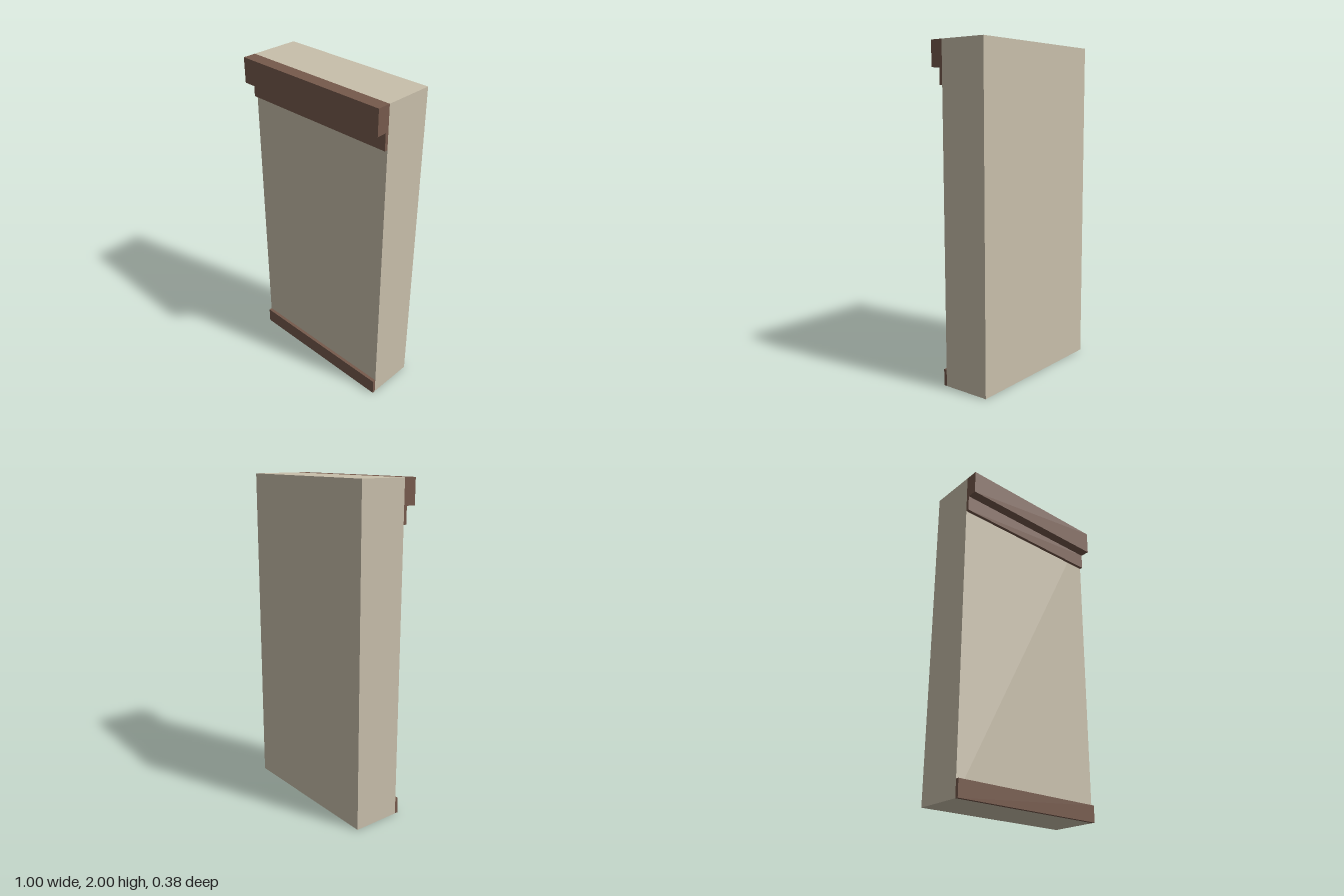
import * as THREE from 'three';

export function createModel() {
  const group = new THREE.Group();
  group.name = 'wallPanel';

  const plaster = new THREE.MeshStandardMaterial({ color: 0xc8bfab });
  plaster.name = 'plaster';
  const wood = new THREE.MeshStandardMaterial({ color: 0x765a4c });
  wood.name = 'brownWood';

  const width = 1;
  const wallFront = 0.11;

  // Full-width box given by its y and z extents
  function slab(name, material, y0, y1, z0, z1) {
    const mesh = new THREE.Mesh(new THREE.BoxGeometry(width, y1 - y0, z1 - z0), material);
    mesh.name = name;
    mesh.position.set(0, (y0 + y1) / 2, (z0 + z1) / 2);
    group.add(mesh);
  }

  // Wall body
  slab('wall', plaster, 0, 2, -0.19, wallFront);
  // Mouldings along the front face
  slab('cornice', wood, 1.85, 2, wallFront, 0.19);
  slab('corniceTrim', wood, 1.75, 1.85, wallFront, 0.13);
  slab('baseboard', wood, 0, 0.1, wallFront, 0.13);

  return group;
}
